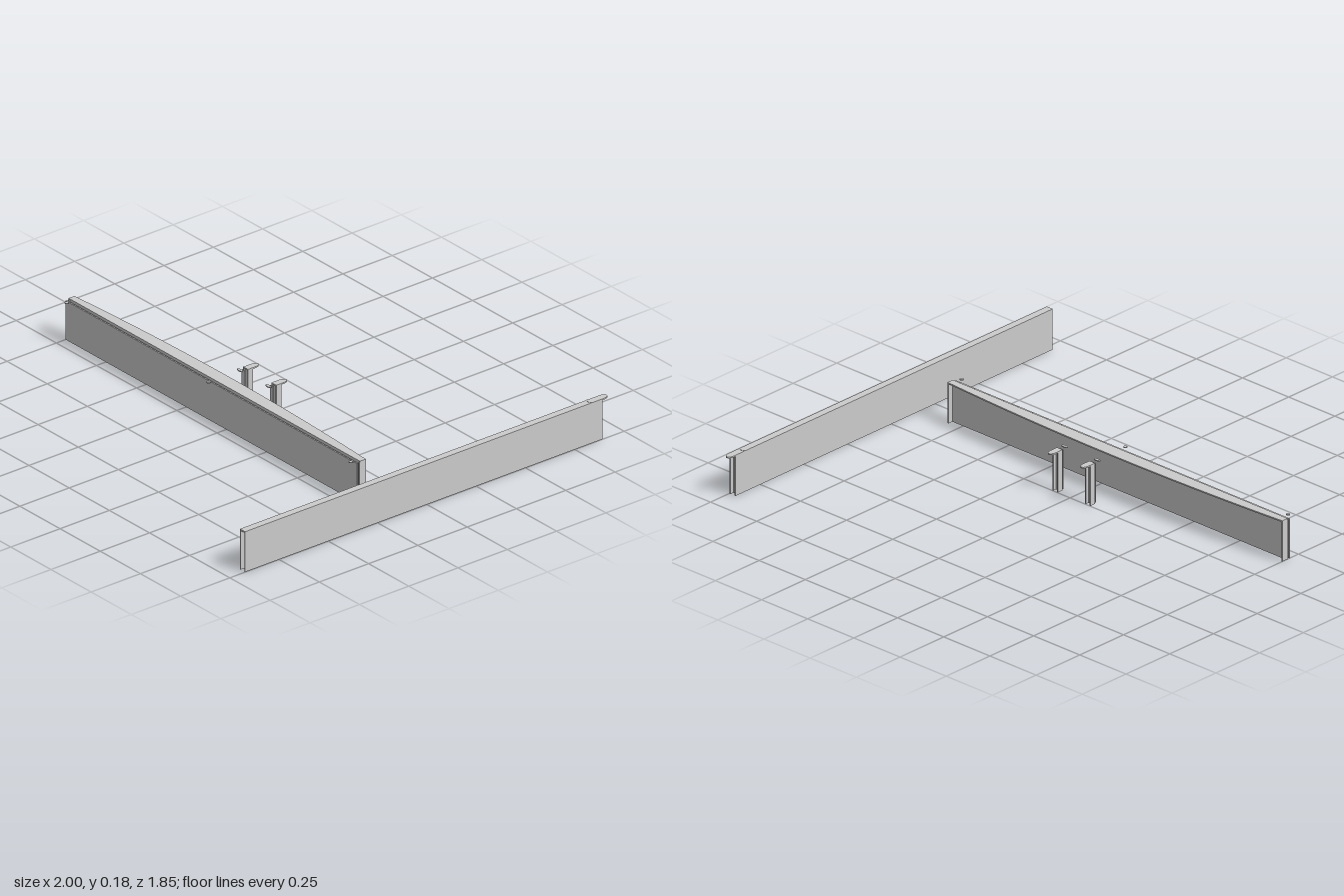
import * as THREE from 'three';

const H = 0.172;   // panel height
const CAP = 0.006; // thickness of the top caps
const T = 0.005;   // panel thickness

export function createModel() {
  const root = new THREE.Group();
  const mat = new THREE.MeshStandardMaterial({ color: 0xcccccc, side: THREE.DoubleSide });

  const add = (parent, name, geometry, x, y, z) => {
    const mesh = new THREE.Mesh(geometry, mat);
    mesh.name = name;
    mesh.position.set(x, y, z);
    parent.add(mesh);
    return mesh;
  };
  // Upright panel given by its x and z limits
  const panel = (parent, name, x0, x1, z0, z1, h = H) =>
    add(parent, name, new THREE.BoxGeometry(x1 - x0, h, z1 - z0), (x0 + x1) / 2, h / 2, (z0 + z1) / 2);
  // Small flat stud lying level with the caps
  const stud = (parent, x, z, rx, rz) => {
    const mesh = add(parent, 'topStud', new THREE.CylinderGeometry(1, 1, 0.004, 16), x, 0.177, z);
    mesh.scale.set(rx, 1, rz);
  };
  // Horizontal cap extruded from an outline in x and z
  const cap = (parent, name, shape) => {
    const geo = new THREE.ExtrudeGeometry(shape, { depth: CAP, bevelEnabled: false, curveSegments: 16 });
    geo.rotateX(-Math.PI / 2);
    add(parent, name, geo, 0, H, 0);
  };
  // Cap with a pointed arch at the back; shape y is -z
  const archCap = (parent, x, half, zTip, zFront) => {
    const s = new THREE.Shape();
    const shoulder = -zTip - 0.03;
    s.moveTo(x - half, -zFront);
    s.lineTo(x + half, -zFront);
    s.lineTo(x + half, shoulder);
    s.quadraticCurveTo(x + half, -zTip - 0.006, x + 0.004, -zTip);
    s.lineTo(x - 0.004, -zTip);
    s.quadraticCurveTo(x - half, -zTip - 0.006, x - half, shoulder);
    s.closePath();
    cap(parent, 'archedCap', s);
  };

  // Wide unit with a bowed cap overhanging its back wall
  const wide = new THREE.Group();
  wide.name = 'wideUnit';
  const bow = new THREE.Shape();
  bow.moveTo(-1, -0.188);
  bow.lineTo(0.813, -0.188);
  bow.lineTo(0.813, -0.158);
  bow.quadraticCurveTo(-0.094, -0.096, -1, -0.158);
  bow.closePath();
  cap(wide, 'bowedCap', bow);
  panel(wide, 'backWall', -0.995, 0.808, 0.18, 0.185);
  panel(wide, 'frontPanel', -1, 0.813, 0.197, 0.203);
  for (const x of [-1, 0.813 - T]) panel(wide, 'sidePanel', x, x + T, 0.158, 0.19, H);
  for (const x of [-0.975, -0.093, 0.793]) stud(wide, x, 0.218, 0.008, 0.008);
  root.add(wide);

  // Two small posts behind the wide unit
  for (const x of [-0.093, 0.083]) {
    const post = new THREE.Group();
    post.name = 'post';
    archCap(post, x, 0.015, -0.033, 0.029);
    panel(post, 'postBackWall', x - 0.014, x + 0.014, 0.018, 0.022);
    panel(post, 'postFrontPanel', x - 0.01, x + 0.01, 0.037, 0.041);
    for (const s of [-1, 1]) {
      const c = x + s * 0.0125;
      panel(post, 'postSidePanel', c - T / 2, c + T / 2, 0.003, 0.029);
    }
    stud(post, x, 0.057, 0.016, 0.007);
    root.add(post);
  }

  // Long unit running front to back, open underneath
  const long = new THREE.Group();
  long.name = 'longUnit';
  const cx = 0.983, half = 0.016;
  archCap(long, cx, half, -0.925, 0.922);
  panel(long, 'longBackWall', cx - half, cx + half, -0.876, -0.871);
  for (const s of [-1, 1]) {
    const c = cx + s * (half - T / 2);
    panel(long, 'longSidePanel', c - T / 2, c + T / 2, -0.892, 0.922);
  }
  stud(long, cx, -0.837, 0.016, 0.007);
  root.add(long);

  return root;
}
